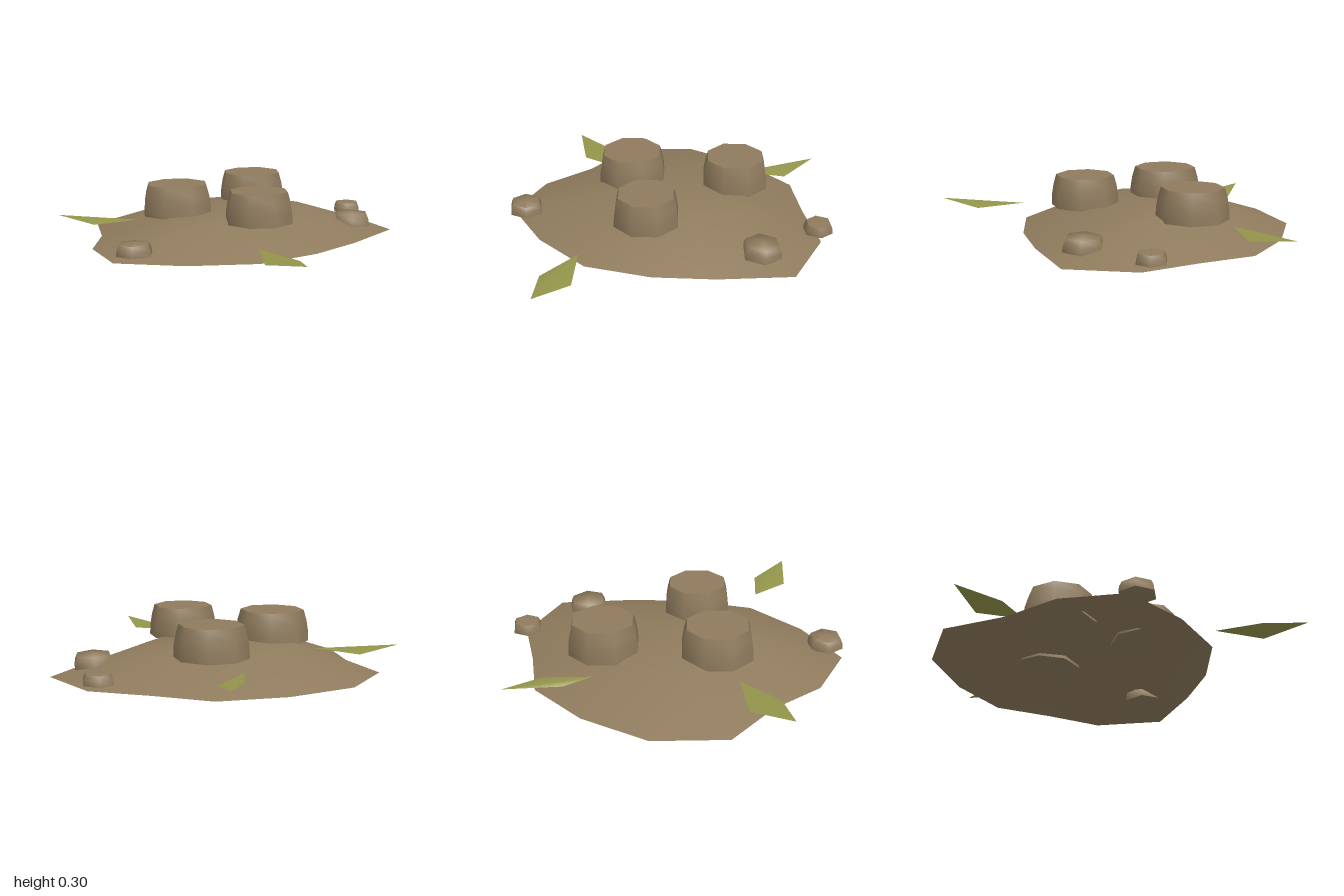
import * as THREE from 'three';
import { toCreasedNormals } from 'three/addons/utils/BufferGeometryUtils.js';

export function createModel() {
  const model = new THREE.Group();
  const earth = new THREE.MeshStandardMaterial({ color: 0x8f7b5d, side: THREE.DoubleSide });
  earth.name = 'earthBrown';
  const green = new THREE.MeshStandardMaterial({ color: 0x93954b, side: THREE.DoubleSide });
  green.name = 'leafGreen';

  function add(geometry, material, name) {
    const mesh = new THREE.Mesh(geometry, material);
    mesh.name = name;
    model.add(mesh);
    return mesh;
  }

  function surface(positions, index) {
    const g = new THREE.BufferGeometry();
    g.setAttribute('position', new THREE.Float32BufferAttribute(positions, 3));
    g.setIndex(index);
    g.computeVertexNormals();
    return g;
  }

  // Mound: open shell from an uneven outline, a half-size shoulder ring and a peak
  const outline = [
    [-0.25, -1.0], [0.14, -0.95], [0.48, -0.8], [0.65, -0.52], [0.84, -0.25], [0.82, 0.14], [0.45, 0.33],
    [0.13, 0.45], [-0.24, 0.5], [-0.59, 0.36], [-0.89, 0.13], [-0.87, -0.22], [-0.71, -0.5], [-0.61, -0.84],
  ];
  const cx = -0.02, cz = -0.22, n = outline.length;
  const pos = [], idx = [];
  for (const [scale, y] of [[1, 0], [0.5, 0.14]])
    for (const [x, z] of outline) pos.push(cx + (x - cx) * scale, y, cz + (z - cz) * scale);
  pos.push(cx, 0.155, cz);
  for (let i = 0; i < n; i++) {
    const j = (i + 1) % n;
    idx.push(i, n + i, j, j, n + i, n + j, n + i, 2 * n, n + j);
  }
  add(surface(pos, idx), earth, 'mound');

  // Closed, rounded stub with a flat top, used for mounds' stumps and stones
  function stub(profile, r, sides, crease) {
    const pts = profile.map(([s, y]) => new THREE.Vector2(s * r, y));
    return toCreasedNormals(new THREE.LatheGeometry(pts, sides), crease);
  }

  // Three octagonal stumps
  const stumpProfile = [[0, 0], [1, 0], [0.985, 0.06], [0.94, 0.115], [0.86, 0.17], [0, 0.17]];
  for (const [x, z, r] of [[-0.33, -0.3, 0.2], [0.24, -0.475, 0.195], [-0.045, 0.13, 0.188]])
    add(stub(stumpProfile, r, 8, 0.9), earth, 'stump').position.set(x, 0.13, z);

  // Three small hexagonal stones
  const stoneProfile = [[0, 0], [1, 0], [0.96, 0.03], [0.83, 0.058], [0, 0.065]];
  for (const [x, z, r, h, tilt] of [[-0.785, 0.16, 0.1, 1, 0], [0.6, 0.06, 0.115, 1.2, -0.05], [0.805, -0.295, 0.085, 0.92, 0]]) {
    const stone = add(stub(stoneProfile, r, 6, 1.1), earth, 'stone');
    stone.position.set(x, 0.04, z);
    stone.rotation.set(0, Math.PI / 6, tilt);
    stone.scale.y = h;
  }

  // Folded diamond leaves: inner tip, side, outer tip, side
  const leaves = [
    [[-0.26, 0.52], [-0.36, 0.76], [-0.27, 1.0], [-0.17, 0.77]],
    [[-0.51, -0.45], [-0.64, -0.67], [-0.89, -0.72], [-0.75, -0.51]],
    [[0.2, -0.69], [0.45, -0.77], [0.55, -1.0], [0.31, -0.81]],
  ];
  const heights = [0.083, 0.066, 0.1, 0.066];
  for (const leaf of leaves) {
    const p = leaf.flatMap(([x, z], i) => [x, heights[i], z]);
    add(surface(p, [0, 1, 2, 0, 2, 3]), green, 'leaf');
  }
  return model;
}
